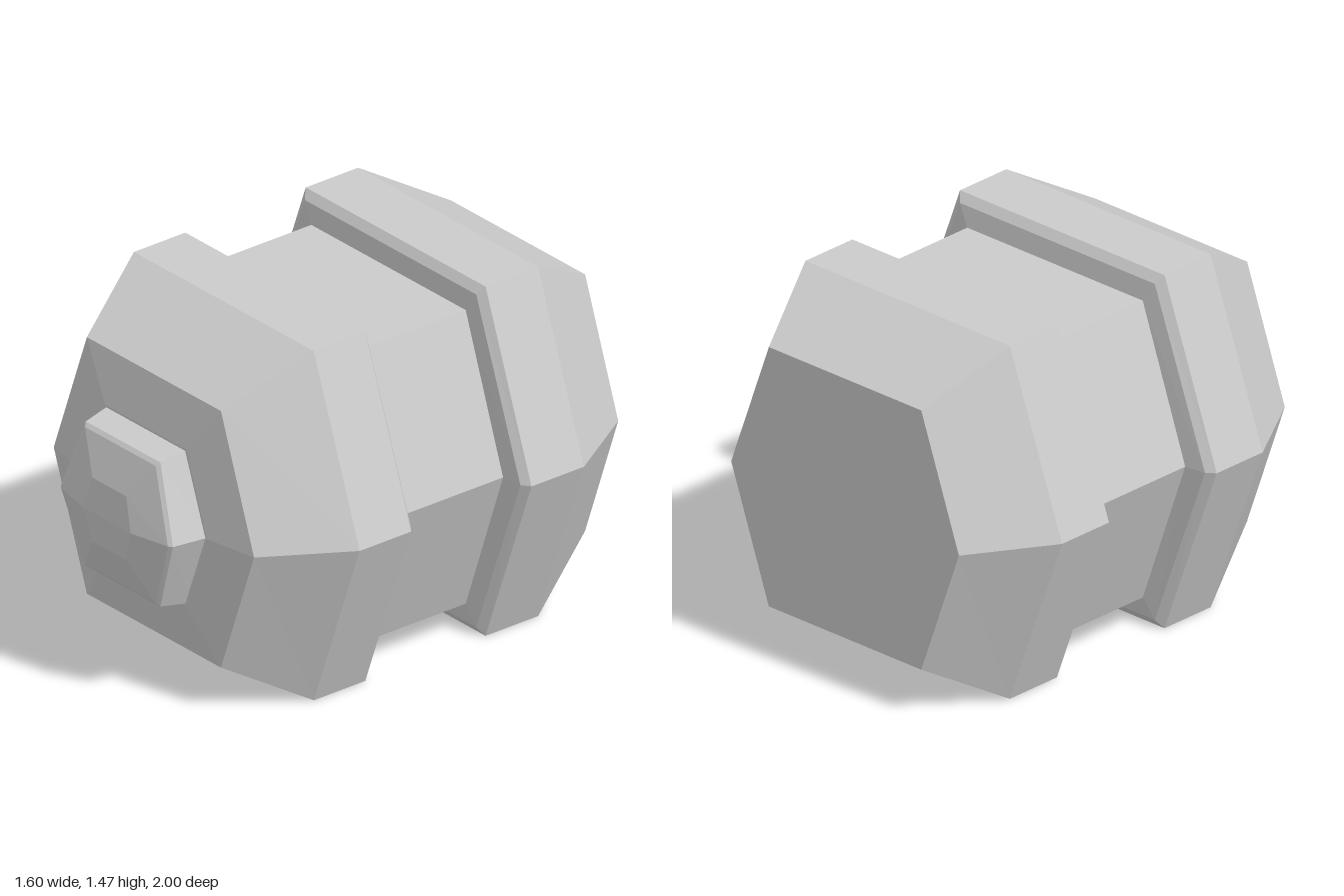
import * as THREE from 'three';

const CENTRE_Y = 0.735;

// Hexagonal ring: z, half width at side points, half height, half length of
// the flat top edge, and how far the ring sweeps back per unit of |y|.
function hexRing([z, w, h, e, sweep = 0]) {
  return [[w, 0], [e, h], [-e, h], [-w, 0], [-e, -h], [e, -h]]
    .map(([x, y]) => new THREE.Vector3(x, y, z - sweep * Math.abs(y)));
}

// Skin rings (ordered back to front) and close both ends.
function loft(name, rows) {
  const rings = rows.map(hexRing);
  const pts = [];
  const tri = (...v) => v.forEach((p) => pts.push(p.x, p.y, p.z));
  const first = rings[0], last = rings[rings.length - 1];
  const backMid = new THREE.Vector3(0, 0, rows[0][0]);
  const frontMid = new THREE.Vector3(0, 0, rows[rows.length - 1][0]);
  for (let j = 0; j < 6; j++) {
    const k = (j + 1) % 6;
    for (let i = 0; i < rings.length - 1; i++) {
      const a = rings[i], b = rings[i + 1];
      tri(a[j], a[k], b[k]);
      tri(a[j], b[k], b[j]);
    }
    tri(backMid, first[k], first[j]);
    tri(frontMid, last[j], last[k]);
  }
  const geo = new THREE.BufferGeometry();
  geo.setAttribute('position', new THREE.Float32BufferAttribute(pts, 3));
  geo.computeVertexNormals();
  const mesh = new THREE.Mesh(geo, new THREE.MeshStandardMaterial({ color: 0xcccccc, flatShading: true }));
  mesh.name = name;
  mesh.position.y = CENTRE_Y;
  return mesh;
}

export function createModel() {
  const group = new THREE.Group();
  group.name = 'hexagonalConnector';

  // Rear collar, tapered to a flat back, with a small bevel at the waist
  group.add(loft('rearCollar', [
    [-1.0, 0.59, 0.54, 0.395],
    [-0.66, 0.8, 0.735, 0.53],
    [-0.405, 0.8, 0.735, 0.53],
    [-0.38, 0.765, 0.7, 0.505],
    [-0.37, 0.675, 0.615, 0.455],
  ]));

  // Narrow waist between the collars
  group.add(loft('waist', [
    [-0.39, 0.675, 0.618, 0.455],
    [0.16, 0.675, 0.618, 0.455],
  ]));

  // Front collar, tapered to a shallow front face
  group.add(loft('frontCollar', [
    [0.14, 0.675, 0.615, 0.455],
    [0.153, 0.765, 0.7, 0.505],
    [0.18, 0.8, 0.735, 0.53],
    [0.43, 0.8, 0.735, 0.53],
    [0.77, 0.59, 0.54, 0.395],
    [0.81, 0.36, 0.33, 0.24],
  ]));

  // Front button with a faceted, swept-back dome
  group.add(loft('frontButton', [
    [0.79, 0.355, 0.325, 0.235],
    [0.95, 0.33, 0.303, 0.22, 0.1],
    [0.962, 0.315, 0.288, 0.208, 0.1],
    [1.0, 0.14, 0.135, 0.1, 0.1],
  ]));

  return group;
}
